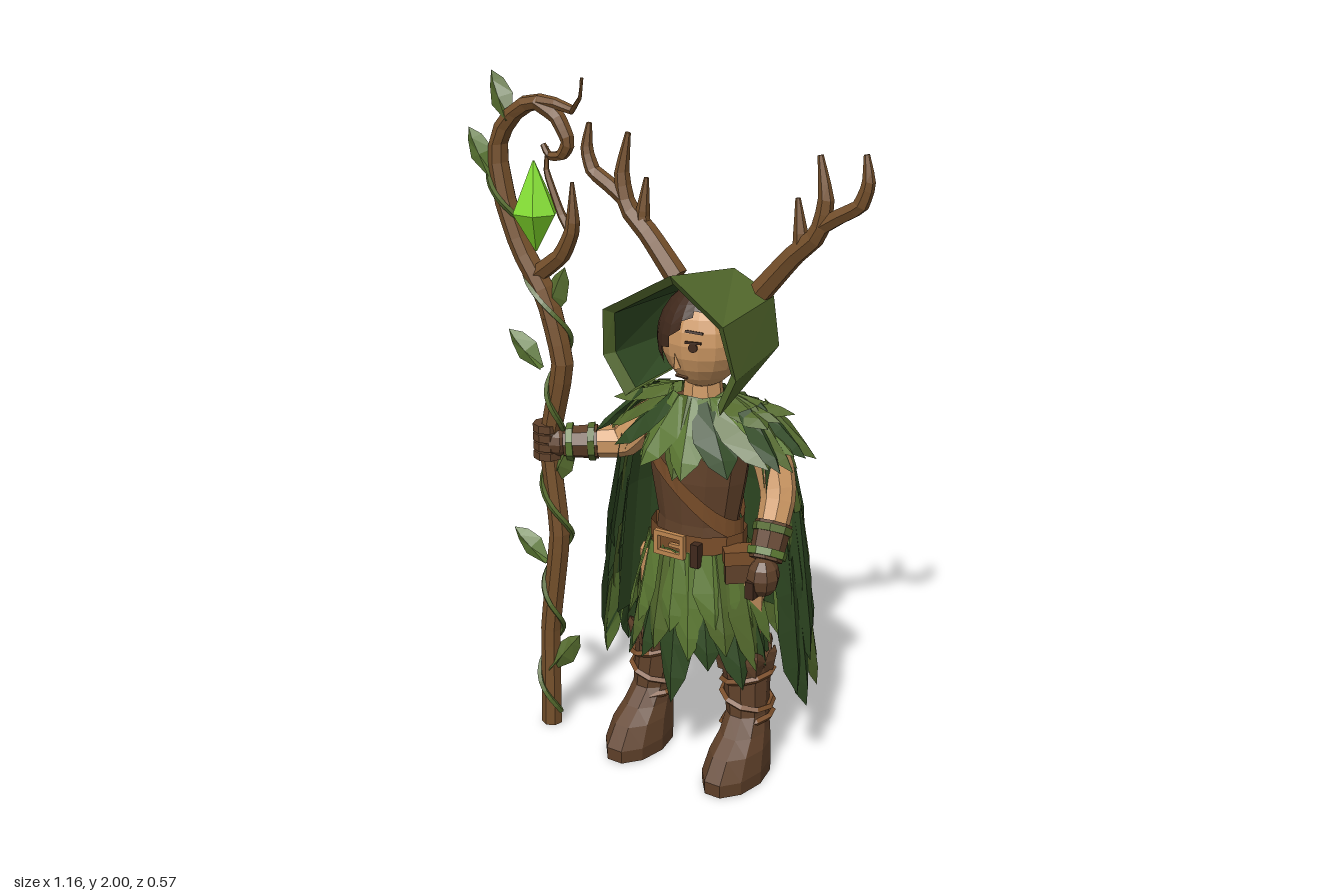
import * as THREE from 'three';
import { mergeGeometries } from 'three/addons/utils/BufferGeometryUtils.js';

const C = 0.112; // body centre line
const V = (x, y, z) => new THREE.Vector3(x, y, z);
const mat = (name, color) => Object.assign(
  new THREE.MeshStandardMaterial({ color, flatShading: true, side: THREE.DoubleSide }), { name });

// piecewise linear lookup in [[key, value], ...]
function lerpTable(table, k) {
  if (k <= table[0][0]) return table[0][1];
  for (let i = 1; i < table.length; i++) {
    const [k0, v0] = table[i - 1], [k1, v1] = table[i];
    if (k <= k1) return v0 + (v1 - v0) * (k - k0) / (k1 - k0);
  }
  return table[table.length - 1][1];
}

function buffer(points, index) {
  const g = new THREE.BufferGeometry().setFromPoints(points);
  g.setIndex(index);
  g.computeVertexNormals();
  return g;
}

// skin through rings of points, with optional end caps
function loft(rings, { closed = true, start = false, end = false } = {}) {
  const n = rings[0].length, pts = rings.flat(), idx = [];
  for (let r = 0; r < rings.length - 1; r++) {
    for (let j = 0; j < (closed ? n : n - 1); j++) {
      const k = (j + 1) % n, a = r * n, b = a + n;
      idx.push(a + j, b + j, b + k, a + j, b + k, a + k);
    }
  }
  const cap = (ring, base, flip) => {
    const c = ring.reduce((s, p) => s.add(p), V(0, 0, 0)).divideScalar(n);
    const ci = pts.push(c) - 1;
    for (let j = 0; j < n; j++) {
      const k = (j + 1) % n;
      idx.push(ci, base + (flip ? k : j), base + (flip ? j : k));
    }
  };
  if (start) cap(rings[0], 0, false);
  if (end) cap(rings[rings.length - 1], (rings.length - 1) * n, true);
  return buffer(pts, idx);
}

const ellipse = (cx, y, cz, rx, rz, n = 12) => Array.from({ length: n }, (_, i) => {
  const a = (i / n) * Math.PI * 2;
  return V(cx + rx * Math.cos(a), y, cz + rz * Math.sin(a));
});

// capped tube along a nearly straight-sided path whose radius follows a list
function limb(points, radii, sides = 7, seg = 14) {
  const curve = new THREE.CatmullRomCurve3(points.map(p => V(...p)), false, 'catmullrom', 0.2);
  const g = new THREE.TubeGeometry(curve, seg, 1, sides, false);
  const pos = g.attributes.position, v = V(0, 0, 0);
  const table = radii.map((r, i) => [i / (radii.length - 1), r]);
  for (let i = 0; i <= seg; i++) {
    const u = THREE.MathUtils.clamp((i - 1) / (seg - 2), 0, 1);
    const from = curve.getPointAt(i / seg), to = curve.getPointAt(u);
    const r = i === 0 || i === seg ? 0 : lerpTable(table, u);
    for (let j = 0; j <= sides; j++) {
      const k = i * (sides + 1) + j;
      v.fromBufferAttribute(pos, k).sub(from).multiplyScalar(r).add(to);
      pos.setXYZ(k, v.x, v.y, v.z);
    }
  }
  return g;
}

// folded leaf from base to tip with its ridge facing out
function leaf(base, tip, out, w, { baseW = 0.35, wide = 0.45, tipW = 0.32, fold = 0.01 } = {}) {
  const dir = tip.clone().sub(base);
  const side = out.clone().cross(dir).normalize();
  const n = dir.clone().cross(side).normalize();
  const rows = [[0, baseW], [wide, 0.5], [0.78, tipW]].map(([t, s]) => [-s, 0, s].map(x =>
    base.clone().addScaledVector(dir, t).addScaledVector(side, x * w).addScaledVector(n, x ? -fold : fold)));
  const idx = [6, 9, 7, 7, 9, 8];
  for (const r of [0, 3]) for (const c of [r, r + 1]) idx.push(c, c + 3, c + 4, c, c + 4, c + 1);
  return buffer([...rows.flat(), tip], idx);
}

export function createModel() {
  const model = new THREE.Group();
  const M = {
    skin: mat('skin', 0xcd9863), hair: mat('dark brown', 0x40291c), leather: mat('leather', 0x60412a),
    strap: mat('strap brown', 0x7a4e2a), wood: mat('wood', 0x75502b), light: mat('light leaf', 0x5d7a34),
    mid: mat('mid leaf', 0x546a2d), dark: mat('dark leaf', 0x304a23), crystal: mat('crystal green', 0x82dc2c),
    buckle: mat('tan', 0xbd8650),
  };
  const add = (name, geo, m) => {
    const mesh = new THREE.Mesh(geo, m);
    mesh.name = name;
    model.add(mesh);
    return mesh;
  };
  const box = (name, m, size, p) => {
    const b = add(name, new THREE.BoxGeometry(...size), m);
    b.position.set(...p);
    return b;
  };
  // gathers leaves by colour, one mesh each
  const leafBed = (name, build) => {
    const beds = { light: [], mid: [], dark: [] };
    build((c, ...a) => beds[c].push(leaf(...a)));
    for (const c in beds) if (beds[c].length) add(name + ' ' + c, mergeGeometries(beds[c]), M[c]);
  };

  // boots, straps and legs
  for (const s of [-1, 1]) {
    const sections = [[0, 0.005, 0.285, 0.082, 0.172], [0.04, 0.005, 0.287, 0.083, 0.172], [0.1, 0.005, 0.245, 0.076, 0.172],
      [0.14, 0.005, 0.19, 0.066, 0.17], [0.19, 0.005, 0.145, 0.06, 0.165], [0.3, -0.01, 0.14, 0.068, 0.155], [0.36, -0.012, 0.145, 0.074, 0.15]];
    add('boot', loft(sections.map(([y, z0, z1, w, x]) =>
      ellipse(C + s * x, y, (z0 + z1) / 2, w, (z1 - z0) / 2, 10)), { start: true, end: true }), M.leather);
    add('leg', new THREE.CylinderGeometry(0.066, 0.058, 0.3, 8).translate(C + s * 0.14, 0.48, 0.068), M.skin);
    const cuffs = [];
    for (let i = 0; i < 7; i++) {
      const a = i / 7 * Math.PI * 2, n = V(Math.sin(a), 0, Math.cos(a)), c = V(C + s * 0.152, 0.32, 0.067);
      cuffs.push(leaf(c.clone().addScaledVector(n, 0.072), c.clone().addScaledVector(n, 0.088).setY(0.405), n, 0.07));
    }
    add('boot cuff', mergeGeometries(cuffs), M.leather);
    [0.16, 0.23, 0.3].forEach((y, i) => {
      const t = add('boot strap', new THREE.TorusGeometry(0.076, 0.01, 4, 10), M.strap);
      t.position.set(C + s * 0.16, y, 0.068);
      t.rotation.set(Math.PI / 2, i % 2 ? -0.25 : 0.25, 0);
    });
  }

  // tunic, belt, cross strap and pouches
  const rx = [[0.62, 0.14], [0.7, 0.135], [0.77, 0.125], [0.9, 0.15], [1.02, 0.17], [1.12, 0.11]];
  const rz = [[0.62, 0.1], [0.77, 0.09], [0.92, 0.1], [1.02, 0.095], [1.12, 0.06]];
  const TZ = 0.085;
  add('tunic', loft([0.6, 0.7, 0.77, 0.9, 1.02, 1.12].map(y =>
    ellipse(C, y, TZ, lerpTable(rx, y), lerpTable(rz, y))), { start: true, end: true }), M.leather);
  add('belt', loft([0.685, 0.75].map(y => ellipse(C, y, TZ, 0.148, 0.112))), M.strap);
  const band = off => Array.from({ length: 24 }, (_, i) => {
    const a = i / 24 * Math.PI * 2, y = 0.89 - 0.13 * Math.cos(a) + off;
    return V(C + (lerpTable(rx, y) + 0.01) * Math.cos(a), y, TZ + (lerpTable(rz, y) + 0.012) * Math.sin(a));
  });
  add('cross strap', loft([band(-0.028), band(0.028)]), M.strap);
  const corners = [[-1, -1], [1, -1], [1, 1], [-1, 1]];
  const frame = new THREE.Shape(corners.map(([x, y]) => new THREE.Vector2(x * 0.05, y * 0.036)));
  frame.holes.push(new THREE.Path(corners.map(([x, y]) => new THREE.Vector2(x * 0.036, y * 0.022)).reverse()));
  add('buckle', new THREE.ExtrudeGeometry(frame, { depth: 0.015, bevelEnabled: false }).translate(0.092, 0.718, 0.2), M.buckle);
  box('buckle pin', M.buckle, [0.04, 0.01, 0.012], [0.112, 0.718, 0.207]);
  box('pouch', M.leather, [0.08, 0.09, 0.06], [0.272, 0.67, 0.13]).rotation.y = 0.7;
  box('pouch flap', M.strap, [0.086, 0.04, 0.067], [0.272, 0.702, 0.131]).rotation.y = 0.7;
  box('knife sheath', M.hair, [0.025, 0.07, 0.025], [0.175, 0.7, 0.197]);

  // skirt of leaves
  add('skirt lining', loft([[0.48, 0.2, 0.12], [0.7, 0.142, 0.103]].map(([y, a, b]) => ellipse(C, y, TZ, a, b))), M.dark);
  leafBed('skirt leaves', put => {
    [[0.6, 0.33, 0.23, 0.15, 12, 'dark'], [0.7, 0.38, 0.23, 0.155, 12, 'mid'], [0.7, 0.46, 0.205, 0.155, 9, 'light']]
      .forEach(([y0, y1, tx, tz, n, col], r) => {
        for (let i = 0; i < n; i++) {
          const a = (i + r % 2 * 0.5) / n * Math.PI * 2, s = Math.sin(a), c = Math.cos(a);
          const y = y1 + 0.035 * Math.sin(i * 2.3) - (r === 0 && i === 0 ? 0.1 : 0), b = 0.145 + r * 0.004;
          put(r === 1 && i % 3 === 0 ? 'light' : r === 2 && i % 4 === 3 ? 'mid' : col, V(C + s * b, y0, TZ + c * b * 0.74),
            V(C + s * tx, y, TZ + c * tz), V(s, 0.2, c), 0.12, { wide: 0.5 });
        }
      });
  });

  // leaf cape
  const capeX = [[0.22, 0.322], [0.5, 0.3], [0.8, 0.27], [1.0, 0.235], [1.08, 0.19], [1.13, 0.12]];
  const capeZ = [[0.22, 0.325], [0.5, 0.275], [0.7, 0.255], [0.9, 0.228], [1.0, 0.195], [1.08, 0.145], [1.13, 0.08]];
  const cape = (a, y, off = 0) => V(C + Math.sin(a) * (lerpTable(capeX, y) + off), y, 0.05 - Math.cos(a) * (lerpTable(capeZ, y) + off));
  add('cape lining', loft([0.38, 0.6, 0.8, 1.0, 1.08, 1.13].map(y =>
    Array.from({ length: 15 }, (_, i) => cape((i / 14 - 0.5) * 3.4, y, -0.015))), { closed: false }), M.dark);
  leafBed('cape leaves', put => {
    [[0.5, 0.235, 11], [0.67, 0.4, 11], [0.84, 0.57, 10], [1.0, 0.73, 10], [1.1, 0.9, 9]]
      .forEach(([y0, y1, n], r) => {
        for (let i = 0; i < n; i++) {
          const a = ((i + 0.25 + r % 2 * 0.5) / n - 0.5) * 3.5;
          const tip = y1 + 0.02 * Math.sin(i * 3.1 + r);
          const w = 3.5 / n * lerpTable(capeX, y1) * 1.25;
          put((i * 2 + r) % 7 === 0 ? 'light' : (i + r * 2) % 3 === 1 ? 'dark' : 'mid', cape(a, y0, 0.004), cape(a, tip, 0.016),
            V(Math.sin(a), 0.2, -Math.cos(a)), w, { baseW: 0.45, tipW: r ? 0.44 : 0.33, wide: 0.5 });
        }
      });
    for (const s of [-1, 1]) for (const [a, top, low] of [[1.72, 0.98, 0.5], [1.68, 0.7, 0.29], [1.42, 0.82, 0.36]]) // long edge leaves
      put('dark', cape(s * a, top, 0.014), cape(s * a, low, 0.022), V(s, 0.1, 0), 0.13, { wide: 0.5, tipW: 0.38 });
  });

  // leaf collar over the shoulders
  leafBed('collar leaves', put => {
    [[13, 0.25, 0.3, 0.17, 0.965], [9, 0, 0.21, 0.155, 0.96]].forEach(([n, shift, tx, tz, y], r) => {
      for (let i = 0; i < n; i++) {
        const a = (i + shift) / n * Math.PI * 2, s = Math.sin(a), c = Math.cos(a);
        const reach = c < 0 ? 0.24 : tz;
        put(['light', 'mid', 'dark'][(i + r) % 3 === 0 ? 0 : (i + r) % 2 + (r ? 0 : 1)],
          V(C + s * 0.085, 1.135 + r * 0.008, 0.07 + c * 0.065),
          V(C + s * tx, y - 0.04 * Math.max(0, c) + 0.04 * Math.abs(s), 0.07 + c * reach), V(s * 0.5, 1, c * 0.8), 0.13);
      }
    });
    for (const s of [-1, 1]) {
      for (const z of [-0.02, 0.06, 0.13]) // across the shoulder
        put('mid', V(C + s * 0.07, 1.145, 0.06), V(C + s * 0.255, 1.095, z + 0.01), V(0, 1, 0), 0.11);
      [-0.06, 0.0, 0.07, 0.14].forEach((z, i) => // hanging over the arm
        put(i % 2 ? 'dark' : 'mid', V(C + s * 0.17, 1.125, 0.05 + z * 0.4), V(C + s * 0.308, 0.965 + (i % 2) * 0.02, z + 0.02), V(s, 0.8, 0), 0.095));
    }
  });

  // arms, bracers and gloves
  const arm = (path, wrist0, wrist1) => {
    add('arm', limb(path, [0.05, 0.054, 0.047, 0.042], 8), M.skin);
    const at = t => wrist0.map((v, i) => v + (wrist1[i] - v) * t);
    add('bracer', limb([at(0), at(1)], [0.052, 0.046], 8, 4), M.leather);
    for (const t of [0.08, 0.72]) add('bracer band', limb([at(t), at(t + 0.2)], [0.057, 0.055], 8, 4), t < 0.5 ? M.mid : M.light);
  };
  arm([[0.26, 1.05, 0.06], [0.335, 0.98, 0.06], [0.375, 0.89, 0.09], [0.39, 0.74, 0.18]], [0.385, 0.825, 0.13], [0.392, 0.735, 0.185]);
  arm([[-0.03, 1.05, 0.06], [-0.1, 1.0, 0.06], [-0.155, 0.94, 0.08], [-0.29, 0.935, 0.165]], [-0.215, 0.938, 0.12], [-0.3, 0.935, 0.172]);
  const fist = add('left glove', new THREE.SphereGeometry(1, 8, 6), M.leather);
  fist.position.set(0.392, 0.69, 0.195);
  fist.scale.set(0.046, 0.058, 0.05);
  for (let i = 0; i < 4; i++) {
    box('left finger', M.hair, [0.026, 0.05, 0.022], [0.378, 0.662, 0.165 + i * 0.024]);
    add('right finger', new THREE.CylinderGeometry(0.044, 0.044, 0.023, 8).translate(-0.345, 0.897 + i * 0.028, 0.19), M.leather);
  }
  add('right palm', new THREE.SphereGeometry(0.045, 8, 6).translate(-0.318, 0.937, 0.18), M.leather);

  // neck and head
  add('neck', new THREE.CylinderGeometry(0.05, 0.065, 0.14, 8).translate(0.115, 1.14, 0.07), M.skin);
  const H = { x: 0.125, y: 1.305, z: 0.075, r: 0.125, h: 0.145 };
  const chin = t => (t < 0 ? 1 - 0.25 * t * t : 1);
  const head = new THREE.SphereGeometry(1, 16, 12), hp = head.attributes.position;
  for (let i = 0; i < hp.count; i++) {
    const t = hp.getY(i);
    hp.setXYZ(i, H.x + hp.getX(i) * H.r * chin(t), H.y + t * H.h, H.z + hp.getZ(i) * H.r);
  }
  add('head', head, M.skin);
  const onFace = (name, geo, m, x, y, lift = 0.003) => {
    const t = (y - H.y) / H.h, dx = (x - H.x) / (H.r * chin(t));
    const p = add(name, geo, m);
    p.position.set(x, y, H.z + H.r * Math.sqrt(1 - dx * dx - t * t) + lift);
    p.rotation.set(-t * 0.8, Math.asin(dx) * 0.9, 0, 'YXZ');
  };
  for (const s of [-1, 1]) {
    onFace('eye', new THREE.CylinderGeometry(0.013, 0.013, 0.006, 10).rotateX(Math.PI / 2), M.hair, 0.11 + s * 0.052, 1.306);
    onFace('eyelid', new THREE.BoxGeometry(0.046, 0.006, 0.008), M.hair, 0.11 + s * 0.052, 1.32);
    onFace('eyebrow', new THREE.BoxGeometry(0.05, 0.007, 0.008).rotateZ(-s * 0.08), M.hair, 0.11 + s * 0.052, 1.348);
  }
  onFace('nose', new THREE.ConeGeometry(0.013, 0.045, 4), M.skin, 0.107, 1.262, 0.004);
  onFace('mouth', new THREE.BoxGeometry(0.042, 0.006, 0.006), M.leather, 0.107, 1.208);

  // hair shell with a swept fringe: depth of the hairline by azimuth
  const fringe = [[-3.15, 2.3], [-1.6, 2.3], [-1.1, 2.15], [-0.75, 2.05], [-0.4, 1.8], [0, 1.25], [0.4, 0.88], [0.7, 0.95], [1.05, 1.4], [1.3, 2.1], [3.15, 2.3]];
  const hair = new THREE.SphereGeometry(1, 24, 8), hh = hair.attributes.position;
  for (let i = 0; i < hh.count; i++) {
    const row = Math.floor(i / 25), az = ((i % 25) / 24 - 0.5) * Math.PI * 2;
    const a = row / 8 * lerpTable(fringe, az);
    hh.setXYZ(i, H.x + 0.135 * Math.sin(a) * Math.sin(az), H.y + 0.153 * Math.cos(a), H.z + 0.136 * Math.sin(a) * Math.cos(az));
  }
  add('hair', hair, M.hair);

  // hood
  const front = [[-0.06, 1.13, 0.2], [-0.12, 1.245, 0.22], [-0.09, 1.39, 0.26], [0.13, 1.515, 0.26], [0.295, 1.4, 0.26], [0.312, 1.245, 0.22], [0.25, 1.13, 0.2]].map(p => V(...p));
  const back = [[0.0, 1.185, -0.08], [-0.06, 1.26, -0.08], [-0.05, 1.4, -0.08], [0.12, 1.462, -0.08], [0.25, 1.4, -0.08], [0.27, 1.26, -0.08], [0.21, 1.185, -0.08]].map(p => V(...p));
  const shrink = (ring, f, dz) => ring.map(p => V(0.105 + (p.x - 0.105) * f, 1.3 + (p.y - 1.3) * f, p.z + dz));
  const inFront = shrink(front, 0.87, -0.02);
  add('hood', loft([back, front], { closed: false, start: true }), M.mid);
  add('hood rim', loft([front, inFront], { closed: false }), M.mid);
  add('hood lining', loft([inFront, shrink(back, 0.94, 0.02)], { closed: false, end: true }), M.dark);

  // antlers
  const branches = [
    [[[0.25, 1.43], [0.345, 1.54], [0.42, 1.61], [0.44, 1.7], [0.418, 1.82]], [0.034, 0.031, 0.028, 0.022, 0.008]],
    [[[0.425, 1.63], [0.48, 1.665], [0.54, 1.7], [0.562, 1.76], [0.552, 1.835]], [0.024, 0.023, 0.022, 0.018, 0.008]],
    [[[0.33, 1.525], [0.368, 1.58], [0.355, 1.7]], [0.024, 0.02, 0.007]],
  ];
  for (const s of [-1, 1]) for (const [path, radii] of branches)
    add('antler', limb(path.map(([x, y]) => [C + s * (x - C), y, -0.01 - (y - 1.43) * 0.02]), radii, 6), M.wood);

  // staff with hooked top and side twigs
  const Z = 0.188, flat = pts => pts.map(([x, y]) => [x, y, Z]);
  const staff = flat([[-0.362, 0], [-0.355, 0.33], [-0.312, 0.65], [-0.34, 0.93], [-0.285, 1.18], [-0.335, 1.37], [-0.42, 1.5], [-0.472, 1.63], [-0.497, 1.77],
    [-0.46, 1.86], [-0.39, 1.91], [-0.31, 1.925], [-0.215, 1.905], [-0.198, 1.995]]);
  add('staff', limb(staff, [0.032, 0.031, 0.032, 0.031, 0.033, 0.034, 0.032, 0.026, 0.005], 7, 44), M.wood);
  add('staff hook', limb(flat([[-0.35, 1.92], [-0.285, 1.885], [-0.248, 1.82], [-0.27, 1.78], [-0.315, 1.775], [-0.335, 1.805]]), [0.024, 0.022, 0.018, 0.008], 6, 16), M.wood);
  add('staff twig', limb(flat([[-0.37, 1.43], [-0.28, 1.5], [-0.24, 1.58], [-0.238, 1.71]]), [0.028, 0.025, 0.02, 0.005], 6), M.wood);
  add('staff twig', limb(flat([[-0.24, 1.56], [-0.28, 1.62], [-0.325, 1.73], [-0.32, 1.8]]), [0.015, 0.012, 0.01, 0.004], 5), M.wood);

  // vine winding up the staff, with leaves
  const spine = new THREE.CatmullRomCurve3(staff.map(p => V(...p)), false, 'catmullrom', 0.2);
  const vine = Array.from({ length: 70 }, (_, i) => {
    const u = 0.02 + i / 69 * 0.76, a = i * 0.5, p = spine.getPointAt(u);
    return [p.x + 0.036 * Math.cos(a), p.y, p.z + 0.036 * Math.sin(a)];
  });
  add('vine', limb(vine, [0.009, 0.009], 4, 140), M.mid);
  leafBed('vine leaves', put => {
    [[-0.44, 1.86, -0.525, 1.99], [-0.51, 1.7, -0.573, 1.835], [-0.33, 1.31, -0.285, 1.46], [-0.35, 1.16, -0.455, 1.265],
      [-0.33, 0.8, -0.27, 0.95], [-0.35, 0.55, -0.46, 0.645], [-0.35, 0.19, -0.262, 0.315]].forEach(([x0, y0, x1, y1], i) =>
      put(i % 2 ? 'light' : 'mid', V(x0, y0, Z + 0.02), V(x1, y1, Z + (i % 2 ? 0.03 : -0.02)), V(0.2, 0.1, 1), 0.075, { baseW: 0.08 }));
  });

  // floating crystal
  add('crystal', loft([[1.5, 0.003], [1.61, 0.07], [1.755, 0.003]].map(([y, r]) => ellipse(-0.37, y, Z, r, r * 0.93, 6))), M.crystal);
  return model;
}
